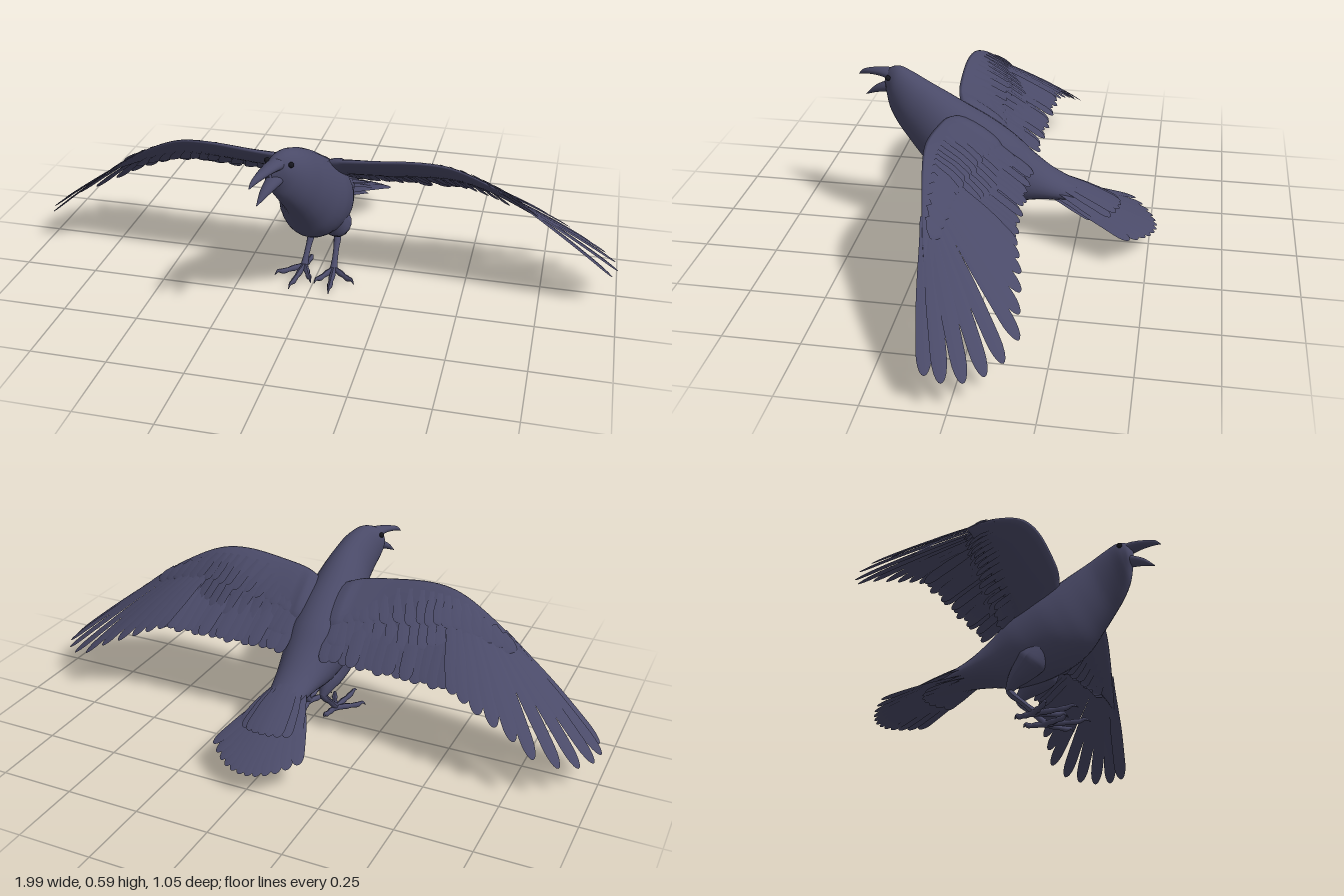
import * as THREE from 'three';
import { mergeGeometries } from 'three/addons/utils/BufferGeometryUtils.js';

const V = (a) => new THREE.Vector3(...a);
const curve = (pts) => new THREE.CatmullRomCurve3(pts.map(V));
const plumage = new THREE.MeshStandardMaterial({ color: 0x4a4a68 });
const vane = new THREE.MeshStandardMaterial({ color: 0x4a4a68, side: THREE.DoubleSide });
const dark = new THREE.MeshStandardMaterial({ color: 0x16161e });

function add(parent, name, geometry, material = plumage) {
  const mesh = new THREE.Mesh(geometry, material);
  mesh.name = name;
  parent.add(mesh);
  return mesh;
}

function surface(positions, index) {
  const g = new THREE.BufferGeometry();
  g.setAttribute('position', new THREE.Float32BufferAttribute(positions, 3));
  g.setIndex(index);
  g.computeVertexNormals();
  return g;
}

// Smooth skin of elliptical rings, each spanning from point a to point b and
// reaching half-width w along the direction dir. Rows are [a, b, w].
function loft(rows, dir, sides = 28, steps = 5) {
  const A = curve(rows.map((r) => r[0])), B = curve(rows.map((r) => r[1]));
  const W = curve(rows.map((r) => [r[2], 0, 0]));
  const n = (rows.length - 1) * steps, pos = [], index = [], d = V(dir);
  for (let i = 0; i <= n; i++) {
    const a = A.getPoint(i / n), b = B.getPoint(i / n), w = W.getPoint(i / n).x;
    const c = a.clone().add(b).multiplyScalar(0.5), h = a.clone().sub(c);
    for (let j = 0; j < sides; j++) {
      const t = (j / sides) * Math.PI * 2;
      pos.push(...c.clone().addScaledVector(h, Math.cos(t)).addScaledVector(d, w * Math.sin(t)));
      if (i === n) continue;
      const p = i * sides + j, q = i * sides + ((j + 1) % sides);
      index.push(p, p + sides, q, q, p + sides, q + sides);
    }
  }
  return surface(pos, index);
}

// Tube along points whose radius follows a list of radii.
function limb(points, radii, sides = 10) {
  const path = curve(points), n = 20;
  const g = new THREE.TubeGeometry(path, n, 1, sides), p = g.attributes.position;
  const v = new THREE.Vector3();
  for (let k = 0; k < p.count; k++) {
    const t = Math.floor(k / (sides + 1)) / n, c = path.getPointAt(t);
    const f = t * (radii.length - 1), i = Math.min(Math.floor(f), radii.length - 2);
    const r = THREE.MathUtils.lerp(radii[i], radii[i + 1], f - i);
    v.fromBufferAttribute(p, k).sub(c).multiplyScalar(r).add(c);
    p.setXYZ(k, v.x, v.y, v.z);
  }
  g.computeVertexNormals();
  return g;
}

// Single feather: a thin ridged blade with a rounded tip.
function feather(root, tip, width, normal, lift = 0.01) {
  const n = normal.clone().normalize();
  const mid = root.clone().lerp(tip, 0.5).addScaledVector(n, lift);
  const path = new THREE.QuadraticBezierCurve3(root, mid, tip);
  const pos = [], index = [], steps = 14;
  for (let i = 0; i <= steps; i++) {
    const s = Math.sin((i / steps) * Math.PI / 2);
    const c = path.getPoint(s), side = n.clone().cross(path.getTangent(s)).normalize();
    const round = s > 0.85 ? Math.sqrt(Math.max(0, 1 - ((s - 0.85) / 0.15) ** 2)) : 1;
    const w = width * (0.5 + 0.5 * THREE.MathUtils.smoothstep(s, 0, 0.6)) * round;
    pos.push(...c.clone().addScaledVector(side, -w), ...c.clone().addScaledVector(n, w * 0.12),
      ...c.clone().addScaledVector(side, w));
    if (i === steps) continue;
    for (const k of [i * 3, i * 3 + 1]) index.push(k, k + 1, k + 3, k + 1, k + 4, k + 3);
  }
  return surface(pos, index);
}

// Row of count feathers; make(t, i) returns the arguments of one feather.
function featherRow(count, make) {
  return mergeGeometries(Array.from({ length: count }, (_, i) => feather(...make(i / (count - 1), i))));
}

function makeWing() {
  const wing = new THREE.Group();
  const n = [0, 0.8, -0.6], up = V(n);
  // Leading edge, rear edge and half thickness of the arm
  const arm = [
    [[0.03, 0.455, 0.15], [0.03, 0.36, 0.0], 0.018],
    [[0.1, 0.478, 0.175], [0.1, 0.36, 0.0], 0.018],
    [[0.2, 0.492, 0.187], [0.2, 0.37, 0.02], 0.015],
    [[0.35, 0.506, 0.19], [0.35, 0.385, 0.03], 0.013],
    [[0.45, 0.494, 0.178], [0.45, 0.395, 0.05], 0.011],
    [[0.58, 0.432, 0.152], [0.57, 0.375, 0.07], 0.008],
    [[0.7, 0.35, 0.124], [0.69, 0.335, 0.1], 0.004],
    [[0.74, 0.315, 0.112], [0.74, 0.314, 0.111], 0.0005],
  ];
  add(wing, 'wingArm', loft(arm, n, 16));
  const lead = curve(arm.map((r) => r[0])), rear = curve(arm.map((r) => r[1]));
  const onArm = (t, chord, rise) =>
    lead.getPoint(t).lerp(rear.getPoint(t), chord).addScaledVector(up, rise);

  // Long outer feathers fan around the hand
  const tips = curve([[0.978, 0.112, 0.065], [0.998, 0.106, 0.0], [0.972, 0.108, -0.075],
    [0.915, 0.115, -0.132], [0.825, 0.15, -0.175], [0.74, 0.2, -0.162], [0.66, 0.235, -0.155],
    [0.595, 0.265, -0.14], [0.54, 0.285, -0.125]]);
  const roots = curve([[0.62, 0.405, 0.137], [0.58, 0.413, 0.13], [0.52, 0.43, 0.11], [0.45, 0.435, 0.09]]);
  add(wing, 'primaryFeathers', featherRow(11, (t) => [roots.getPoint(t), tips.getPoint(t), 0.023,
    V([0.6 - 0.45 * t, 0.76, -0.2 - 0.3 * t]), 0.012]), vane);

  // Inner trailing feathers
  add(wing, 'secondaryFeathers', featherRow(15, (t, i) => {
    const x = 0.07 + 0.42 * t;
    return [V([x, 0.42, 0.085]), V([x + 0.015 + 0.03 * t, 0.285 + 0.006 * (i % 2), -0.11 - 0.012 * t + 0.006 * (i % 3)]),
      0.024, up, 0.008];
  }), vane);

  // Overlapping coverts above, and a shorter row beneath
  const coverts = (count, start, reach, rise, drop, t1) => featherRow(count, (t, i) => {
    const k = 0.1 + t * t1;
    const root = onArm(k, start, rise);
    const tip = onArm(k + 0.025 + 0.035 * t, reach + 0.04 * (i % 2), drop);
    return [root, tip, 0.022, up.clone().setX(0.5 * t), 0.004];
  });
  add(wing, 'greaterCoverts', coverts(18, 0.5, 1.3, 0.01, 0.006, 0.66), vane);
  add(wing, 'lesserCoverts', coverts(18, 0.2, 0.85, 0.01, 0.013, 0.66), vane);
  add(wing, 'underCoverts', coverts(16, 0.55, 1.25, -0.01, -0.012, 0.62), vane);
  return wing;
}

function makeLeg() {
  const leg = new THREE.Group();
  add(leg, 'thigh', limb([[0.062, 0.25, 0.1], [0.06, 0.19, 0.055], [0.052, 0.14, 0.0], [0.045, 0.108, -0.026]],
    [0.03, 0.052, 0.036, 0.012], 16));
  add(leg, 'shank', limb([[0.045, 0.125, -0.022], [0.046, 0.105, -0.02], [0.05, 0.055, 0.03], [0.052, 0.018, 0.068]],
    [0.012, 0.013, 0.01, 0.01, 0.013]));
  // Toes with knuckles and a hooked claw
  const ankle = V([0.052, 0.016, 0.062]);
  const toes = { frontToe: [0.068, 0.222], innerToe: [0.006, 0.165], outerToe: [0.138, 0.14], backToe: [0.04, -0.005] };
  for (const [name, [x, z]] of Object.entries(toes)) {
    const at = (t, y) => [ankle.x + (x - ankle.x) * t, y, ankle.z + (z - ankle.z) * t];
    add(leg, name, limb([at(0, 0.015), at(0.4, 0.014), at(0.75, 0.014), at(0.88, 0.02), at(1, 0.008)],
      [0.012, 0.009, 0.011, 0.008, 0.01, 0.006, 0.001], 8));
  }
  return leg;
}

export function createModel() {
  const bird = new THREE.Group();
  bird.name = 'bird';

  // Head, turned slightly to its right, running into body and rump
  add(bird, 'body', loft([
    [[-0.062, 0.535, 0.424], [-0.062, 0.515, 0.424], 0.004],
    [[-0.05, 0.574, 0.404], [-0.052, 0.482, 0.412], 0.036],
    [[-0.032, 0.591, 0.365], [-0.036, 0.445, 0.4], 0.053],
    [[-0.015, 0.581, 0.32], [-0.018, 0.4, 0.372], 0.062],
    [[-0.003, 0.553, 0.26], [-0.005, 0.35, 0.332], 0.071],
    [[0, 0.52, 0.2], [0, 0.295, 0.288], 0.087],
    [[0, 0.478, 0.13], [0, 0.235, 0.24], 0.104],
    [[0, 0.432, 0.05], [0, 0.193, 0.18], 0.113],
    [[0, 0.376, -0.03], [0, 0.155, 0.08], 0.11],
    [[0, 0.312, -0.1], [0, 0.142, -0.02], 0.092],
    [[0, 0.258, -0.17], [0, 0.158, -0.11], 0.075],
    [[0, 0.217, -0.25], [0, 0.163, -0.2], 0.06],
    [[0, 0.175, -0.34], [0, 0.15, -0.31], 0.035],
    [[0, 0.155, -0.37], [0, 0.154, -0.37], 0.001],
  ], [-1, 0, 0]));

  // Open beak
  add(bird, 'upperBeak', loft([
    [[-0.045, 0.577, 0.385], [-0.045, 0.53, 0.385], 0.03],
    [[-0.058, 0.573, 0.425], [-0.058, 0.541, 0.425], 0.026],
    [[-0.076, 0.562, 0.47], [-0.076, 0.539, 0.47], 0.017],
    [[-0.092, 0.547, 0.508], [-0.092, 0.531, 0.508], 0.008],
    [[-0.1, 0.527, 0.526], [-0.1, 0.525, 0.526], 0.001],
  ], [1, 0, 0], 16));
  add(bird, 'lowerBeak', loft([
    [[-0.045, 0.54, 0.385], [-0.045, 0.495, 0.385], 0.03],
    [[-0.056, 0.522, 0.425], [-0.056, 0.488, 0.42], 0.025],
    [[-0.072, 0.496, 0.465], [-0.072, 0.474, 0.46], 0.015],
    [[-0.086, 0.46, 0.499], [-0.086, 0.457, 0.499], 0.001],
  ], [1, 0, 0], 16));
  for (const [name, x, z] of [['leftEye', -0.004, 0.398], ['rightEye', -0.084, 0.382]])
    add(bird, name, new THREE.SphereGeometry(0.009, 14, 10), dark).position.set(x, 0.558, z);

  // Tail fan and its coverts
  const fan = (count, halfWidth, root, tip) => featherRow(count, (t) => {
    const a = 2 * t - 1;
    return [V(root(a)), V(tip(a)), halfWidth, V([0.25 * a, 0.94, -0.35]), 0.01];
  });
  add(bird, 'tailFeathers', fan(12, 0.022, (a) => [a * 0.04, 0.212 - 0.02 * a * a, -0.17],
    (a) => [a * 0.148, 0.071 + 0.028 * a * a, -0.526 + 0.085 * a * a]), vane);
  add(bird, 'tailCoverts', fan(9, 0.02, (a) => [a * 0.045, 0.25 - 0.035 * a * a, -0.17],
    (a) => [a * 0.1, 0.148 - 0.012 * a * a, -0.4 + 0.05 * a * a]), vane);
  add(bird, 'underTailCoverts', fan(7, 0.02, (a) => [a * 0.04, 0.18, -0.17],
    (a) => [a * 0.085, 0.132, -0.35 + 0.04 * a * a]), vane);

  // Paired wings and legs
  for (const [side, s] of [['left', 1], ['right', -1]]) {
    for (const [part, make] of [['Wing', makeWing], ['Leg', makeLeg]]) {
      const g = make();
      g.name = side + part;
      g.scale.x = s;
      bird.add(g);
    }
  }
  return bird;
}
